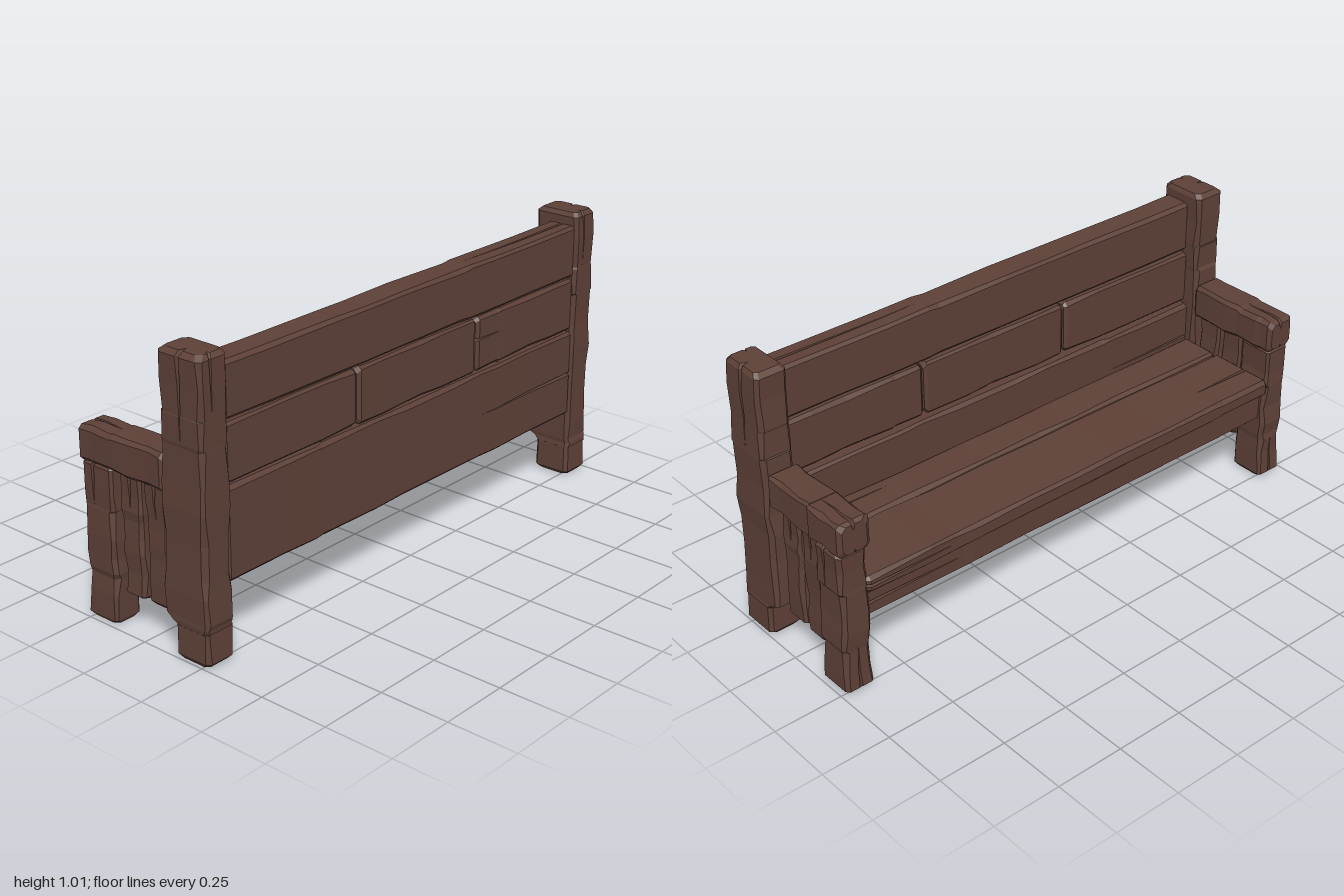
import * as THREE from 'three';

const wood = new THREE.MeshStandardMaterial({ color: 0x5d4037 });
wood.name = 'dark brown wood';

let seed = 7;
const rand = () => {
  seed = (seed * 16807) % 2147483647;
  return seed / 2147483647;
};
const lerp = (a, b, f) => a + (b - a) * f;

// Chamfered, slightly uneven timber lofted along one axis. size = [[x0,x1],[y0,y1],[z0,z1]].
// cracks: { side 0..3 (+u, +v, -u, -v), pos across the face, end 0|1, len, w }
// low: optional rule giving the -u edge for a position along the timber
function timber(name, axis, size, { c = 0.012, wob = 0.004, n = 8, cracks = [], low, stops = [] } = {}) {
  const [t0, t1] = size[axis];
  const U = size[(axis + 1) % 3], V = size[(axis + 2) % 3];
  const ts = [t0, t0 + c, t1 - c, t1, ...stops];
  for (let i = 1; i < n; i++) ts.push(lerp(t0 + c, t1 - c, (i + (rand() - 0.5) * 0.5) / n));
  for (const k of cracks) ts.push(k.end ? t1 - k.len : t0 + k.len);
  ts.sort((a, b) => a - b);

  const rings = ts.map((t, i) => {
    const inset = i === 0 || i === ts.length - 1 ? c * 0.8 : 0;
    const j = () => inset + rand() * wob;
    const u0 = (low ? low(t) : U[0]) + j(), u1 = U[1] - j();
    const v0 = V[0] + j(), v1 = V[1] - j();
    const e = c * (0.6 + rand() * 0.6);
    // each face: start, end and inward direction
    const faces = [
      [u1, v0 + e, u1, v1 - e, -1, 0],
      [u1 - e, v1, u0 + e, v1, 0, -1],
      [u0, v1 - e, u0, v0 + e, 1, 0],
      [u0 + e, v0, u1 - e, v0, 0, 1]
    ];
    const pts = [];
    faces.forEach(([ua, va, ub, vb, du, dv], side) => {
      const k = cracks.find(q => q.side === side);
      const p = k ? k.pos : 0.5;
      const dist = k ? (k.end ? t1 - t : t - t0) : 1;
      const w = k ? k.w * Math.max(0, 1 - dist / k.len) : 0;
      const span = Math.abs(ub - ua) + Math.abs(vb - va);
      const at = (f, d) => [lerp(ua, ub, f) + du * d, lerp(va, vb, f) + dv * d];
      pts.push(at(0, 0), at(p - w / span / 2, 0), at(p, w * 1.5), at(p + w / span / 2, 0), at(1, 0));
    });
    return pts.map(([u, v]) => {
      const q = [0, 0, 0];
      q[axis] = t; q[(axis + 1) % 3] = u; q[(axis + 2) % 3] = v;
      return q;
    });
  });

  const pos = [];
  const tri = (...p) => p.forEach(q => pos.push(...q));
  const m = rings[0].length;
  for (let i = 0; i < rings.length - 1; i++) {
    for (let j = 0; j < m; j++) {
      const k = (j + 1) % m, A = rings[i], B = rings[i + 1];
      tri(A[j], A[k], B[k]);
      tri(A[j], B[k], B[j]);
    }
  }
  // end grain caps
  const first = rings[0], last = rings[rings.length - 1];
  const mid = r => [0, 1, 2].map(a => r.reduce((s, p) => s + p[a], 0) / m);
  for (let j = 0; j < m; j++) {
    const k = (j + 1) % m;
    tri(mid(last), last[j], last[k]);
    tri(mid(first), first[k], first[j]);
  }
  const geo = new THREE.BufferGeometry();
  geo.setAttribute('position', new THREE.Float32BufferAttribute(pos, 3));
  geo.computeVertexNormals();
  const mesh = new THREE.Mesh(geo, wood);
  mesh.name = name;
  return mesh;
}

export function createModel() {
  seed = 7;
  const bench = new THREE.Group();
  bench.name = 'bench';
  const add = (...args) => bench.add(timber(...args));
  const X = 0, Y = 1, Z = 2;

  // backrest boards
  add('backTopBoard', X, [[-0.89, 0.89], [0.775, 0.967], [0.155, 0.268]],
    { cracks: [{ side: 0, pos: 0.5, end: 1, len: 0.6, w: 0.012 }] });
  [[-0.89, -0.293], [-0.287, 0.322], [0.328, 0.89]].forEach((x, i) =>
    add('backMiddleBoard' + (i + 1), X, [x, [0.573, 0.772], [0.15, 0.265]],
      { n: 4, wob: 0.003, cracks: i === 2 ? [{ side: 1, pos: 0.4, end: 0, len: 0.13, w: 0.008 }] : [] }));
  add('backBottomBoard', X, [[-0.89, 0.89], [0.247, 0.57], [0.13, 0.27]],
    { cracks: [{ side: 1, pos: 0.5, end: 1, len: 0.54, w: 0.014 }, { side: 3, pos: 0.6, end: 0, len: 0.4, w: 0.01 }] });

  // seat boards, apron and closed underside
  add('seatFrontBoard', X, [[-0.89, 0.89], [0.355, 0.425], [-0.277, -0.012]],
    { cracks: [{ side: 0, pos: 0.4, end: 0, len: 0.27, w: 0.014 }, { side: 3, pos: 0.5, end: 1, len: 0.35, w: 0.012 }] });
  add('seatRearBoard', X, [[-0.89, 0.89], [0.355, 0.422], [-0.008, 0.14]],
    { cracks: [{ side: 0, pos: 0.7, end: 1, len: 0.35, w: 0.012 }] });
  add('apron', X, [[-0.89, 0.89], [0.248, 0.36], [-0.25, -0.16]],
    { cracks: [{ side: 3, pos: 0.5, end: 1, len: 0.4, w: 0.012 }] });
  add('underside', X, [[-0.885, 0.885], [0.25, 0.36], [-0.2, 0.2]], { wob: 0.001, c: 0.004, n: 2 });

  for (const s of [1, -1]) {
    const side = s > 0 ? 'left' : 'right';
    const out = s > 0 ? 1 : 3; // outward face of an upright
    const xr = (a, b) => (s > 0 ? [a, b] : [-b, -a]);

    // back post with a notched foot
    add(side + 'BackPost', Y, [xr(0.875, 1), [0, 1.01], [0.09, 0.28]], {
      c: 0.015, wob: 0.007, n: 10, stops: [0.115, 0.13, 0.145],
      low: t => (t < 0.12 ? 0.132 : t < 0.137 ? 0.115 : lerp(0.086, 0.1, t)),
      cracks: [{ side: out, pos: 0.5, end: 1, len: 0.3, w: 0.016 },
        { side: 0, pos: 0.35, end: 1, len: 0.2, w: 0.01 }]
    });
    // front leg
    add(side + 'FrontLeg', Y, [xr(0.877, 0.99), [0, 0.545], [-0.272, -0.13]], {
      c: 0.014, wob: 0.01, n: 7,
      cracks: [{ side: out, pos: 0.35, end: 1, len: 0.15, w: 0.014 },
        { side: 2, pos: 0.5, end: 0, len: 0.18, w: 0.012 }]
    });
    // armrest
    add(side + 'Armrest', Z, [xr(0.868, 0.992), [0.532, 0.662], [-0.28, 0.1]], {
      c: 0.014, wob: 0.007, n: 5,
      cracks: [{ side: 1, pos: 0.45, end: 0, len: 0.16, w: 0.014 },
        { side: 3, pos: 0.5, end: 0, len: 0.05, w: 0.008 }]
    });
    // side slats
    [[-0.02, 0.085, 0.115], [-0.128, -0.027, 0.112]].forEach(([z0, z1, y0], i) =>
      add(side + 'SideSlat' + (i + 1), Y, [xr(0.89, 0.965), [y0, 0.54], [z0, z1]], {
        wob: 0.008, n: 6,
        cracks: [{ side: out, pos: 0.5, end: 1, len: 0.13, w: 0.014 }]
      }));
  }
  return bench;
}
